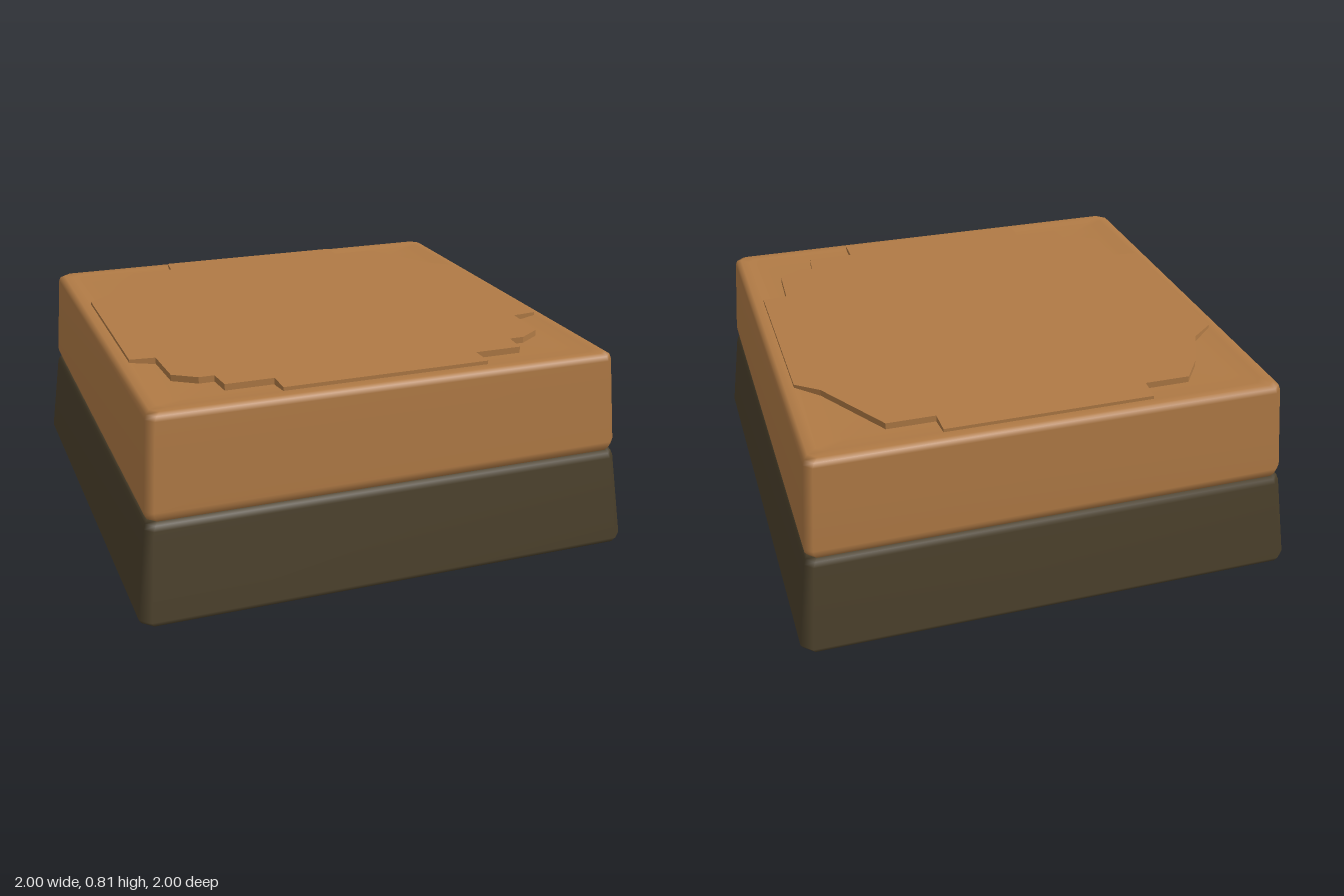
import * as THREE from 'three';

const wood = new THREE.MeshStandardMaterial({ color: 0xb07a45 });
wood.name = 'warm brown';
const dark = new THREE.MeshStandardMaterial({ color: 0x4c412c });
dark.name = 'dark olive brown';

// Square ring with clipped corners, counter-clockwise from above
function ring(half, clip) {
  const h = half, k = half - clip;
  return [[h, k], [h, -k], [k, -h], [-k, -h], [-h, -k], [-h, k], [-k, h], [k, h]];
}

// Smooth closed block through [half width, height, corner clip] sections
function block(name, sections, material) {
  const pos = [], index = [], n = 8;
  for (const [half, y, clip] of sections) {
    for (const [x, z] of ring(half, clip)) pos.push(x, y, z);
  }
  const last = sections.length - 1;
  const bottom = pos.length / 3, top = bottom + 1;
  pos.push(0, sections[0][1], 0, 0, sections[last][1], 0);
  for (let i = 0; i < n; i++) {
    const j = (i + 1) % n;
    for (let s = 0; s < last; s++) {
      const a = s * n, b = a + n;
      index.push(a + i, a + j, b + j, a + i, b + j, b + i);
    }
    index.push(bottom, j, i, top, last * n + i, last * n + j);
  }
  const geometry = new THREE.BufferGeometry();
  geometry.setAttribute('position', new THREE.Float32BufferAttribute(pos, 3));
  geometry.setIndex(index);
  geometry.computeVertexNormals();
  const mesh = new THREE.Mesh(geometry, material);
  mesh.name = name;
  return mesh;
}

export function createModel() {
  const group = new THREE.Group();
  group.name = 'twoTierBlock';

  // Dark flared lower half
  group.add(block('base', [
    [0.90, 0, 0.04], [0.96, 0.001, 0.04], [0.99, 0.01, 0.04], [1.0, 0.03, 0.04],
    [0.957, 0.37, 0.03], [0.95, 0.39, 0.03], [0.938, 0.405, 0.03],
  ], dark));

  // Brown upper half with a softened top rim
  group.add(block('upperBody', [
    [0.90, 0.397, 0.03], [0.938, 0.398, 0.03], [0.95, 0.42, 0.03], [0.953, 0.44, 0.03],
    [0.928, 0.775, 0.03], [0.922, 0.793, 0.03], [0.905, 0.803, 0.03],
    [0.87, 0.802, 0.03], [0.78, 0.79, 0.05],
  ], wood));

  // Raised top plate with irregular stepped corners, as [x, z]
  const frontCorner = [
    [0.41, 0.86], [0.41, 0.76], [0.60, 0.76], [0.61, 0.66],
    [0.67, 0.66], [0.76, 0.60], [0.77, 0.40], [0.87, 0.39],
  ];
  const outline = [
    ...frontCorner,
    [0.87, -0.39], [0.78, -0.46], [0.60, -0.77], [0.41, -0.77], [0.41, -0.87],
    [-0.41, -0.87], [-0.42, -0.77], [-0.60, -0.77], [-0.68, -0.66], [-0.77, -0.47], [-0.87, -0.39],
    ...frontCorner.map(([x, z]) => [-x, z]).reverse(),
  ];
  const shape = new THREE.Shape(outline.map(([x, z]) => new THREE.Vector2(x, -z)));
  const plate = new THREE.Mesh(
    new THREE.ExtrudeGeometry(shape, { depth: 0.035, bevelEnabled: false }).rotateX(-Math.PI / 2),
    wood,
  );
  plate.position.y = 0.78;
  plate.name = 'topPlate';
  group.add(plate);

  return group;
}
